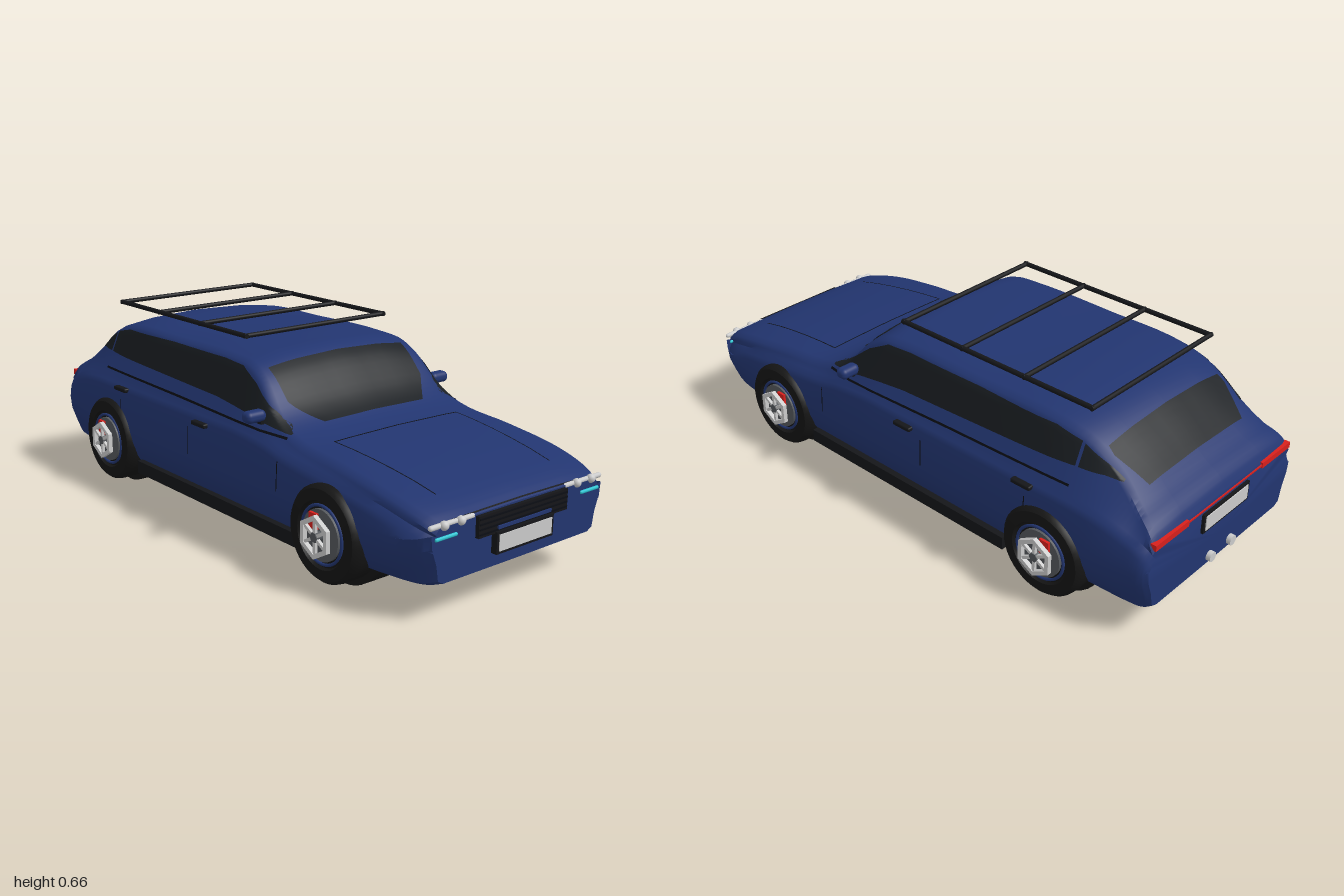
import * as THREE from 'three';
import { toCreasedNormals } from 'three/addons/utils/BufferGeometryUtils.js';
import { RoundedBoxGeometry } from 'three/addons/geometries/RoundedBoxGeometry.js';

const mat = (color, side = THREE.FrontSide) => new THREE.MeshStandardMaterial({ color, side });
const paint = mat(0x223570), black = mat(0x151619), rubber = mat(0x151515, THREE.DoubleSide);
const glass = mat(0x1a1e22, THREE.DoubleSide), seam = mat(0x0c0e14, THREE.DoubleSide);
const silver = mat(0xcccccc), steel = mat(0x55585c), white = mat(0xeeeeee);
const red = mat(0xd8201c), teal = mat(0x2cc5d2);

// Body stations: z, bottom y, bottom half width, max half width, shoulder y, top half width, top corner y, top centre y
const stations = [
  [-0.985, 0.12, 0.335, 0.375, 0.30, 0.35, 0.34, 0.35],
  [-0.965, 0.105, 0.34, 0.388, 0.33, 0.345, 0.37, 0.385],
  [-0.90, 0.095, 0.345, 0.40, 0.365, 0.32, 0.415, 0.43],
  [-0.82, 0.09, 0.345, 0.408, 0.39, 0.30, 0.48, 0.503],
  [-0.72, 0.085, 0.345, 0.41, 0.40, 0.303, 0.55, 0.575],
  [-0.60, 0.08, 0.345, 0.41, 0.40, 0.312, 0.582, 0.605],
  [-0.30, 0.08, 0.345, 0.41, 0.40, 0.318, 0.588, 0.61],
  [0.05, 0.08, 0.345, 0.41, 0.40, 0.318, 0.587, 0.608],
  [0.13, 0.08, 0.345, 0.41, 0.40, 0.32, 0.576, 0.6],
  [0.20, 0.08, 0.345, 0.41, 0.395, 0.328, 0.535, 0.56],
  [0.29, 0.08, 0.345, 0.41, 0.385, 0.343, 0.445, 0.463],
  [0.38, 0.08, 0.345, 0.41, 0.365, 0.352, 0.4, 0.412],
  [0.60, 0.08, 0.345, 0.41, 0.34, 0.358, 0.372, 0.384],
  [0.80, 0.09, 0.345, 0.405, 0.31, 0.36, 0.342, 0.352],
  [0.93, 0.105, 0.335, 0.385, 0.275, 0.345, 0.308, 0.318],
  [0.975, 0.12, 0.32, 0.358, 0.255, 0.33, 0.288, 0.295],
];
const spline = new THREE.CubicInterpolant(stations.map(s => s[0]), stations.flatMap(s => s.slice(1)), 7, new Float32Array(7));

// Half cross-section at z, from bottom centre up to top centre
function section(z) {
  const [yb, wb, w, ys, wt, yc, yt] = spline.evaluate(z);
  return [[0, yb], [wb * 0.96, yb + 0.001], [wb + 0.008, yb + 0.012], [w - 0.022, yb + 0.06], [w - 0.004, yb + 0.11],
    [w, yb + 0.15], [w - 0.005, ys - 0.035], [w - 0.014, ys - 0.015], [w - 0.03, ys], [wt + 0.012, yc - 0.018],
    [wt + 0.003, yc - 0.006], [wt - 0.02, yc + 0.003], [wt * 0.6, yc + (yt - yc) * 0.7], [0, yt]];
}
// Surface lookups: half width at height y, and height at offset x
function sideX(z, y) {
  const p = section(z);
  for (let i = 2; i < p.length - 1; i++) if (y <= p[i + 1][1])
    return THREE.MathUtils.mapLinear(y, p[i][1], p[i + 1][1], p[i][0], p[i + 1][0]);
  return 0;
}
function topY(z, x) {
  const p = section(z), a = Math.abs(x);
  for (let i = p.length - 1; i > 6; i--) if (a <= p[i - 1][0])
    return THREE.MathUtils.mapLinear(a, p[i][0], p[i - 1][0], p[i][1], p[i - 1][1]);
  return p[6][1];
}

function gridGeometry(rows, caps) {
  const n = rows[0].length, pos = rows.flat(2), idx = [];
  for (let i = 0; i < rows.length - 1; i++) for (let j = 0; j < n - 1; j++) {
    const a = i * n + j, b = a + 1, c = a + n, d = c + 1;
    idx.push(a, b, c, b, d, c);
  }
  if (caps) [0, rows.length - 1].forEach(r => {
    const centre = pos.length / 3;
    pos.push(0, 0.2, rows[r][0][2]);
    for (let j = 0; j < n - 1; j++) {
      const a = r * n + j;
      idx.push(centre, ...(r ? [a, a + 1] : [a + 1, a]));
    }
  });
  const g = new THREE.BufferGeometry();
  g.setAttribute('position', new THREE.Float32BufferAttribute(pos, 3));
  g.setIndex(idx);
  g.computeVertexNormals();
  return g;
}

export function createModel() {
  const car = new THREE.Group();
  const add = (name, geo, m, x = 0, y = 0, z = 0, parent = car) => {
    const mesh = new THREE.Mesh(geo, m);
    mesh.name = name;
    mesh.position.set(x, y, z);
    parent.add(mesh);
    return mesh;
  };
  const box = (name, m, w, h, d, x, y, z, parent) => add(name, new THREE.BoxGeometry(w, h, d), m, x, y, z, parent);
  // Skin laid on the body; each row is [z, from, to] in y (sides) or x (top)
  const skin = (name, m, rows, side, lift = 0.004) => {
    const out = [], sub = 5, n = 10;
    for (let k = 0; k <= (rows.length - 1) * sub; k++) {
      const i = Math.min(Math.floor(k / sub), rows.length - 2), f = k / sub - i;
      const [z, lo, hi] = rows[i].map((v, q) => THREE.MathUtils.lerp(v, rows[i + 1][q], f));
      out.push(Array.from({ length: n + 1 }, (_, j) => {
        const v = THREE.MathUtils.lerp(lo, hi, j / n);
        return side ? [side * (sideX(z, v) + lift), v, z] : [v, topY(z, v) + lift, z];
      }));
    }
    return add(name, gridGeometry(out), m);
  };

  // Body shell lofted through the stations
  const rings = [];
  for (let i = 0; i < stations.length - 1; i++) for (let k = 0; k < 5; k++)
    rings.push(THREE.MathUtils.lerp(stations[i][0], stations[i + 1][0], k / 5));
  rings.push(stations.at(-1)[0]);
  const shell = gridGeometry(rings.map(z => {
    const half = section(z);
    const left = half.slice(1, -1).reverse().map(([x, y]) => [-x, y]);
    return [...half, ...left, half[0]].map(([x, y]) => [x, y, z]);
  }), true);
  add('body', toCreasedNormals(shell, 0.6), paint);
  box('floorPanel', teal, 0.48, 0.008, 0.95, 0, 0.077, -0.01);

  // Glass and bonnet shut lines
  skin('windshield', glass, [[0.355, -0.21, 0.21], [0.265, -0.285, 0.285], [0.165, -0.285, 0.285]], 0);
  skin('rearWindow', glass, [[-0.75, -0.275, 0.275], [-0.775, -0.28, 0.28], [-0.875, -0.24, 0.24]], 0);
  skin('bonnetRearSeam', seam, [[0.463, -0.26, 0.26], [0.458, -0.26, 0.26]], 0, 0.002);

  for (const s of [1, -1]) {
    skin('bonnetSideSeam', seam, [[0.46, s * 0.258, s * 0.262], [0.87, s * 0.238, s * 0.242]], 0, 0.002);
    skin('sideWindow', glass, [[0.36, 0.405, 0.408], [0.3, 0.415, 0.44], [0.25, 0.423, 0.475], [0.18, 0.435, 0.53],
      [0.1, 0.445, 0.57], [0, 0.455, 0.577], [-0.3, 0.465, 0.577], [-0.6, 0.475, 0.57], [-0.69, 0.48, 0.55]], s);
    skin('quarterWindow', glass, [[-0.7, 0.48, 0.545], [-0.78, 0.478, 0.505], [-0.83, 0.468, 0.472]], s);
    skin('beltTrim', black, [[0.36, 0.393, 0.4], [-0.2, 0.41, 0.418], [-0.69, 0.421, 0.428]], s, 0.005).material = seam;
    for (const z of [0.365, -0.115, -0.55])
      skin('doorSeam', seam, [[z + 0.002, 0.24, 0.335], [z - 0.002, 0.24, 0.335]], s, 0.002);
    for (const [z, y] of [[-0.04, 0.36], [-0.54, 0.375]])
      add('doorHandle', new RoundedBoxGeometry(0.022, 0.015, 0.075, 2, 0.005), black, s * (sideX(z, y) + 0.006), y, z);
    box('sideSkirt', black, 0.05, 0.045, 0.9, s * 0.375, 0.103, -0.01);

    // Door mirror
    add('mirrorHousing', new RoundedBoxGeometry(0.075, 0.038, 0.045, 4, 0.017), paint, s * 0.394, 0.445, 0.235);
    box('mirrorStalk', black, 0.03, 0.012, 0.025, s * 0.365, 0.425, 0.24);

    // Lamps
    const bar = add('headlight', new THREE.CapsuleGeometry(0.008, 0.16, 4, 12), white, s * 0.275, 0.29, 0.968);
    bar.rotation.z = Math.PI / 2;
    for (const x of [0.245, 0.31]) add('headlightBulb', new THREE.SphereGeometry(0.014, 16, 12), white, s * x, 0.29, 0.974);
    add('runningLight', new RoundedBoxGeometry(0.085, 0.011, 0.012, 2, 0.005), teal, s * 0.303, 0.256, 0.975);
    box('tailLight', red, 0.16, 0.02, 0.02, s * 0.275, 0.345, -0.98);

    // Exhaust pipe
    const pipe = add('exhaust', new THREE.CylinderGeometry(0.017, 0.017, 0.05, 20), silver, s * 0.055, 0.145, -0.975);
    pipe.rotation.x = Math.PI / 2;
  }

  // Front and rear fittings
  box('grille', black, 0.375, 0.065, 0.03, 0, 0.257, 0.973);
  for (let i = 0; i < 4; i++) box('grilleSlat', seam, 0.37, 0.005, 0.006, 0, 0.235 + i * 0.015, 0.988);
  box('grilleBar', paint, 0.225, 0.01, 0.01, 0, 0.241, 0.988);
  box('frontPlateFrame', black, 0.24, 0.067, 0.025, 0, 0.196, 0.983);
  box('frontPlate', silver, 0.222, 0.05, 0.008, 0, 0.196, 0.994);
  skin('chinSeam', seam, [[0.97, -0.3, 0.3], [0.965, -0.3, 0.3]], 0, 0.001);
  box('tailLightStrip', red, 0.4, 0.006, 0.012, 0, 0.345, -0.982);
  box('rearPlateFrame', black, 0.24, 0.067, 0.018, 0, 0.298, -0.985);
  box('rearPlate', silver, 0.222, 0.05, 0.006, 0, 0.298, -0.994);

  // Roof rack: two rails and four crossbars
  const rack = new THREE.Group();
  rack.name = 'roofRack';
  car.add(rack);
  const rod = (name, len, x, z, axis) => {
    const m = add(name, new THREE.CylinderGeometry(0.008, 0.008, len, 12), black, x, 0.653, z, rack);
    m.rotation[axis] = Math.PI / 2;
  };
  for (const s of [1, -1]) rod('rackRail', 0.772, s * 0.294, -0.318, 'x');
  for (const z of [0.06, -0.195, -0.447, -0.7]) rod('rackCrossbar', 0.6, 0, z, 'z');

  // Wheels
  const tyreProfile = [[0, 0.24], [0.172, 0.24], [0.172, 0.335], [0.152, 0.336], [0.153, 0.39], [0.15, 0.412],
    [0.14, 0.424], [0.105, 0.426], [0.1, 0.415], [0, 0.415]].map(p => new THREE.Vector2(...p));
  const tyreGeo = toCreasedNormals(new THREE.LatheGeometry(tyreProfile, 40), 0.6);
  const hex = (r, o = new THREE.Path()) => {
    for (let i = 0; i < 6; i++) {
      const a = i * Math.PI / 3 + Math.PI / 6;
      o[i ? 'lineTo' : 'moveTo'](r * Math.cos(a), r * Math.sin(a));
    }
    o.closePath();
    return o;
  };
  const rimShape = hex(0.068, new THREE.Shape());
  rimShape.holes.push(hex(0.052));
  const rimGeo = new THREE.ExtrudeGeometry(rimShape, { depth: 0.015, bevelEnabled: false });
  for (const s of [1, -1]) for (const z of [0.592, -0.628]) {
    const wheel = new THREE.Group();
    wheel.name = 'wheel';
    wheel.position.set(0, 0.172, z);
    wheel.rotation.y = s > 0 ? 0 : Math.PI;
    car.add(wheel);
    const turned = (name, geo, m, x) => { add(name, geo, m, x, 0, 0, wheel).rotation.z = -Math.PI / 2; };
    turned('tyre', tyreGeo, rubber, 0);
    turned('brakeDisc', new THREE.CylinderGeometry(0.08, 0.08, 0.012, 32), steel, 0.419);
    add('rimRing', new THREE.TorusGeometry(0.09, 0.005, 8, 36), paint, 0.419, 0, 0, wheel).rotation.y = Math.PI / 2;
    box('brakeCaliper', red, 0.012, 0.05, 0.035, 0.428, 0.04, -s * 0.025, wheel);
    add('rim', rimGeo, silver, 0.437, 0, 0, wheel).rotation.y = Math.PI / 2;
    for (let i = 0; i < 6; i++) {
      const a = i * Math.PI / 3;
      const spoke = box('spoke', silver, 0.01, 0.045, 0.01, 0.444, Math.cos(a) * 0.034, Math.sin(a) * 0.034, wheel);
      spoke.rotation.x = a;
    }
    turned('hub', new THREE.CylinderGeometry(0.016, 0.016, 0.035, 6), steel, 0.434);
  }
  return car;
}
